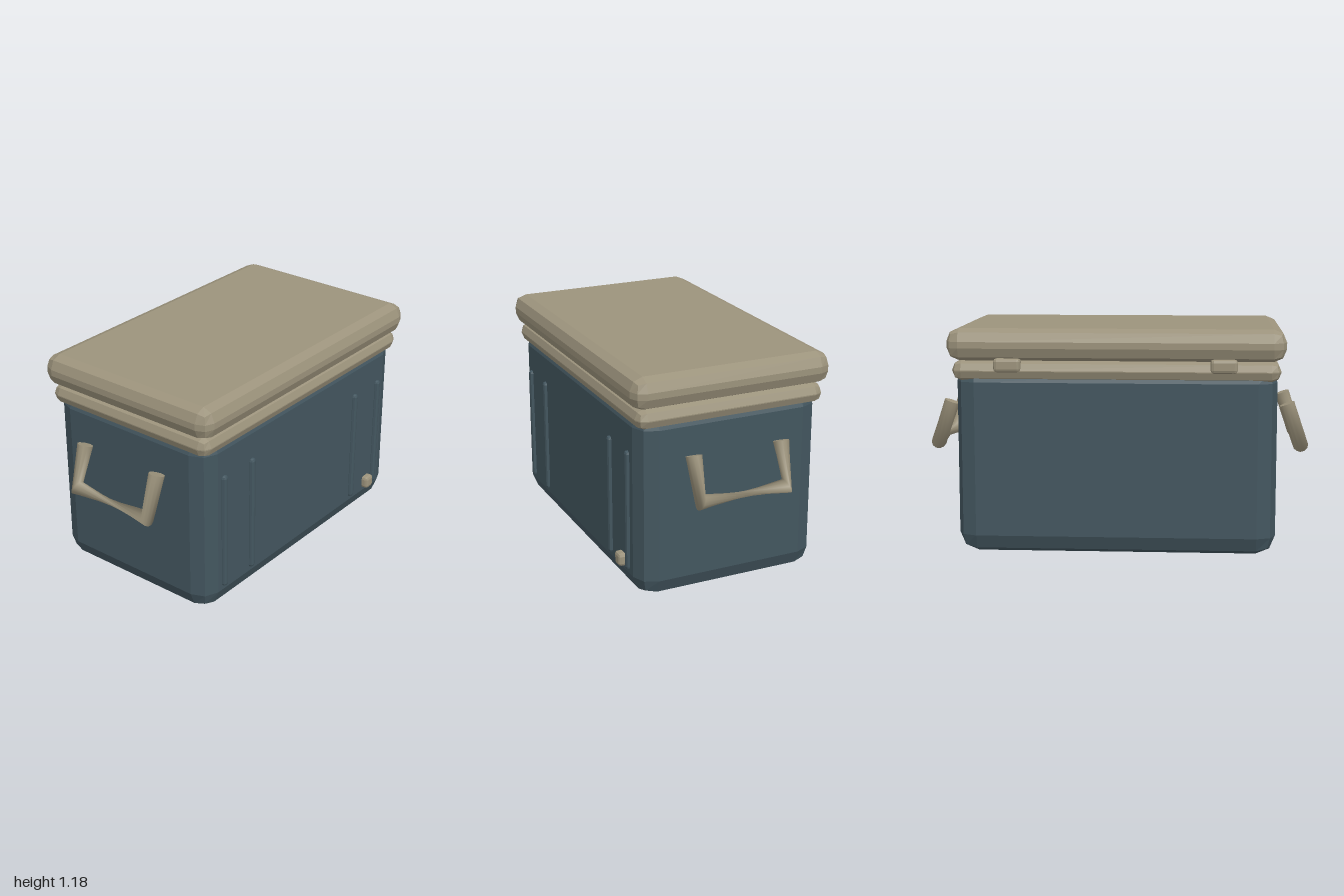
import * as THREE from 'three';
import { RoundedBoxGeometry } from 'three/addons/geometries/RoundedBoxGeometry.js';

const blue = new THREE.MeshStandardMaterial({ color: 0x43565f });
blue.name = 'slate blue';
const tan = new THREE.MeshStandardMaterial({ color: 0x9c937c });
tan.name = 'tan';

// Box with two-facet bevels, shaded flat
function bevelBox(name, material, [w, h, d], radius, [x, y, z]) {
  const geometry = new RoundedBoxGeometry(w, h, d, 1, radius);
  geometry.computeVertexNormals();
  const mesh = new THREE.Mesh(geometry, material);
  mesh.name = name;
  mesh.position.set(x, y, z);
  return mesh;
}

// Drooping carry handle: two legs and a twisted, pinched grip, on the +x side
function handleGeometry() {
  const sides = 12, radius = 0.041, twist = THREE.MathUtils.degToRad(160);
  const rings = [
    { c: [0.883, 0.772, 0.24], n: [0.34, -0.94, 0], a: 0 },
    { c: [0.958, 0.556, 0.238], n: [0, -0.45, -0.89], a: 0 },
    { c: [0.958, 0.556, -0.238], n: [0, 0.45, -0.89], a: twist },
    { c: [0.883, 0.772, -0.24], n: [-0.34, 0.94, 0], a: twist },
  ];
  const pos = [], index = [];
  rings.forEach(({ c, n, a }, i) => {
    const centre = new THREE.Vector3(...c);
    const normal = new THREE.Vector3(...n).normalize();
    const u = new THREE.Vector3(1, 0, 0).addScaledVector(normal, -normal.x).normalize();
    const v = normal.clone().cross(u);
    for (let j = 0; j < sides; j++) {
      const t = a + (j / sides) * Math.PI * 2;
      const p = centre.clone()
        .addScaledVector(u, radius * Math.cos(t))
        .addScaledVector(v, radius * Math.sin(t));
      pos.push(p.x, p.y, p.z);
      if (i < rings.length - 1) {
        const k = (j + 1) % sides, r = i * sides, s = r + sides;
        index.push(r + j, r + k, s + j, r + k, s + k, s + j);
      }
    }
  });
  // end caps with their own vertices
  [0, rings.length - 1].forEach((i) => {
    const first = pos.length / 3;
    pos.push(...pos.slice(i * sides * 3, (i + 1) * sides * 3));
    for (let j = 1; j < sides - 1; j++) {
      if (i === 0) index.push(first, first + j + 1, first + j);
      else index.push(first, first + j, first + j + 1);
    }
  });
  const geometry = new THREE.BufferGeometry();
  geometry.setAttribute('position', new THREE.Float32BufferAttribute(pos, 3));
  geometry.setIndex(index);
  geometry.computeVertexNormals();
  return geometry;
}

export function createModel() {
  const model = new THREE.Group();
  model.name = 'coolBox';

  // Tub, rim and lid
  model.add(
    bevelBox('body', blue, [1.65, 1.0, 0.99], 0.1, [0, 0.503, 0]),
    bevelBox('rim', tan, [1.68, 0.105, 1.02], 0.05, [0, 0.963, 0]),
    bevelBox('lid', tan, [1.73, 0.165, 1.075], 0.066, [0, 1.097, 0]),
  );

  // Front ribs
  for (const x of [-0.678, -0.457, 0.452, 0.672]) {
    model.add(bevelBox('frontRib', blue, [0.038, 0.64, 0.036], 0.015, [x, 0.445, 0.495]));
  }

  // Drain plug
  model.add(bevelBox('drainPlug', tan, [0.066, 0.07, 0.066], 0.016, [0.603, 0.157, 0.498]));

  // Back hinges
  for (const x of [-0.55, 0.55]) {
    model.add(bevelBox('hinge', tan, [0.136, 0.07, 0.07], 0.016, [x, 0.995, -0.505]));
  }

  // Side handles
  const geometry = handleGeometry();
  for (const [name, turn] of [['leftHandle', 0], ['rightHandle', Math.PI]]) {
    const handle = new THREE.Mesh(geometry, tan);
    handle.name = name;
    handle.rotation.y = turn;
    model.add(handle);
  }
  return model;
}
